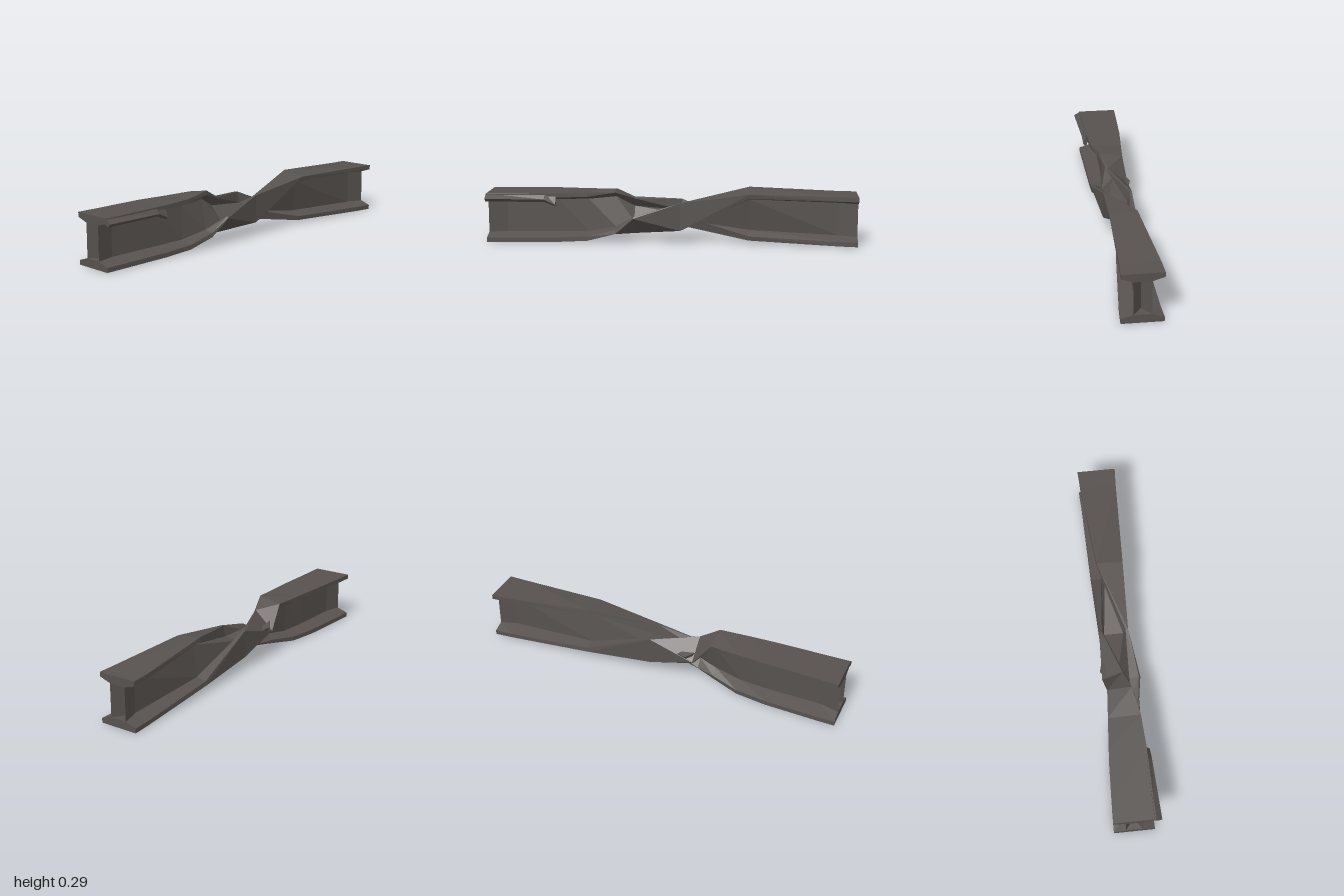
import * as THREE from 'three';

// x, twist (degrees), half height, half flange width, web half thickness, centre y, centre z
const stations = [
  [-1.0, 0, 0.133, 0.108, 0.045, 0.133, -0.015],
  [-0.9, 0, 0.133, 0.106, 0.02, 0.134, -0.015],
  [-0.62, 0, 0.134, 0.098, 0.02, 0.138, -0.012],
  [-0.45, 2, 0.132, 0.086, 0.02, 0.142, -0.006],
  [-0.3, 10, 0.123, 0.066, 0.02, 0.162, 0.001],
  [-0.2, 42, 0.072, 0.074, 0.016, 0.144, 0.0],
  [0.05, 90, 0.078, 0.075, 0.016, 0.145, -0.015],
  [0.42, 172, 0.13, 0.072, 0.02, 0.156, -0.017],
  [0.9, 180, 0.133, 0.1, 0.02, 0.136, -0.016],
  [1.0, 180, 0.133, 0.105, 0.045, 0.134, -0.016],
];

// I-shaped cross-section, counter-clockwise seen from +x
function section([x, deg, H, W, w, cy, cz]) {
  const k = H / 0.133, t = 0.024 * k, r = 0.044 * k;
  const a = THREE.MathUtils.degToRad(deg), c = Math.cos(a), s = Math.sin(a);
  return [
    [-W, -H], [W, -H], [W, -H + t], [w, -H + r], [w, H - r], [W, H - t],
    [W, H], [-W, H], [-W, H - t], [-w, H - r], [-w, -H + r], [-W, -H + t],
  ].map(([p, q]) => [x, cy - p * s + q * c, cz - (p * c + q * s)]);
}

function meshFrom(name, triangles, material) {
  const geometry = new THREE.BufferGeometry();
  geometry.setAttribute('position', new THREE.Float32BufferAttribute(triangles.flat(2), 3));
  geometry.computeVertexNormals();
  const mesh = new THREE.Mesh(geometry, material);
  mesh.name = name;
  return mesh;
}

// Join neighbouring loops with flat facets
function loft(loops) {
  const out = [];
  for (let k = 0; k + 1 < loops.length; k++) {
    const A = loops[k], B = loops[k + 1], n = A.length;
    for (let i = 0; i < n; i++) {
      const j = (i + 1) % n;
      out.push([A[i], A[j], B[j]], [A[i], B[j], B[i]]);
    }
  }
  return out;
}

// Close one end, polygon by polygon
function cap(loop, polygons, flip) {
  const out = [];
  for (const p of polygons) {
    for (let i = 1; i + 1 < p.length; i++) {
      const tri = [loop[p[0]], loop[p[i]], loop[p[i + 1]]];
      out.push(flip ? tri.reverse() : tri);
    }
  }
  return out;
}

// Beam end: flat flange ends, and a web end pinched inward to a crease
function beamEnd(loop, flip) {
  const crease = [[3, 10], [4, 9]].map(([i, j]) => [
    loop[i][0] * 0.94, (loop[i][1] + loop[j][1]) / 2, (loop[i][2] + loop[j][2]) / 2,
  ]);
  const faces = [
    [0, 1, 2, 3, 10, 11], [4, 5, 6, 7, 8, 9],
    [3, 4, 13, 12], [12, 13, 9, 10], [3, 12, 10], [4, 9, 13],
  ];
  return cap([...loop, ...crease], faces, flip);
}

export function createModel() {
  const group = new THREE.Group();
  group.name = 'twistedBeam';
  const steel = new THREE.MeshStandardMaterial({ color: 0x57524f, flatShading: true, side: THREE.DoubleSide });
  steel.name = 'dark steel';

  // Beam: two flanges and a web, wrung half a turn about its length
  const loops = stations.map(section);
  group.add(meshFrom('beam', [
    ...loft(loops),
    ...beamEnd(loops[0], true),
    ...beamEnd(loops[loops.length - 1], false),
  ], steel));

  // Bent lip on the front of the top flange, drooping to a point where it ends
  const lip = [
    [[-1, 0.225, 0.105], [-1, 0.24, 0.08], [-1, 0.267, 0.085], [-1, 0.243, 0.124]],
    [[-0.68, 0.225, 0.092], [-0.68, 0.24, 0.075], [-0.68, 0.271, 0.08], [-0.68, 0.24, 0.108]],
    [[-0.62, 0.2, 0.088], [-0.62, 0.24, 0.072], [-0.62, 0.272, 0.078], [-0.62, 0.212, 0.104]],
  ];
  const quad = [[0, 1, 2, 3]];
  group.add(meshFrom('bentLip', [...loft(lip), ...cap(lip[0], quad, true), ...cap(lip[2], quad, false)], steel));

  // Torn burr on the back edge of the twist
  const burr = [[-0.21, 0.2, -0.08], [-0.04, 0.17, -0.08], [-0.16, 0.13, -0.08], [-0.165, 0.18, -0.112]];
  group.add(meshFrom('burr', [[0, 1, 3], [1, 2, 3], [2, 0, 3], [0, 2, 1]].map((f) => f.map((i) => burr[i])), steel));

  return group;
}
